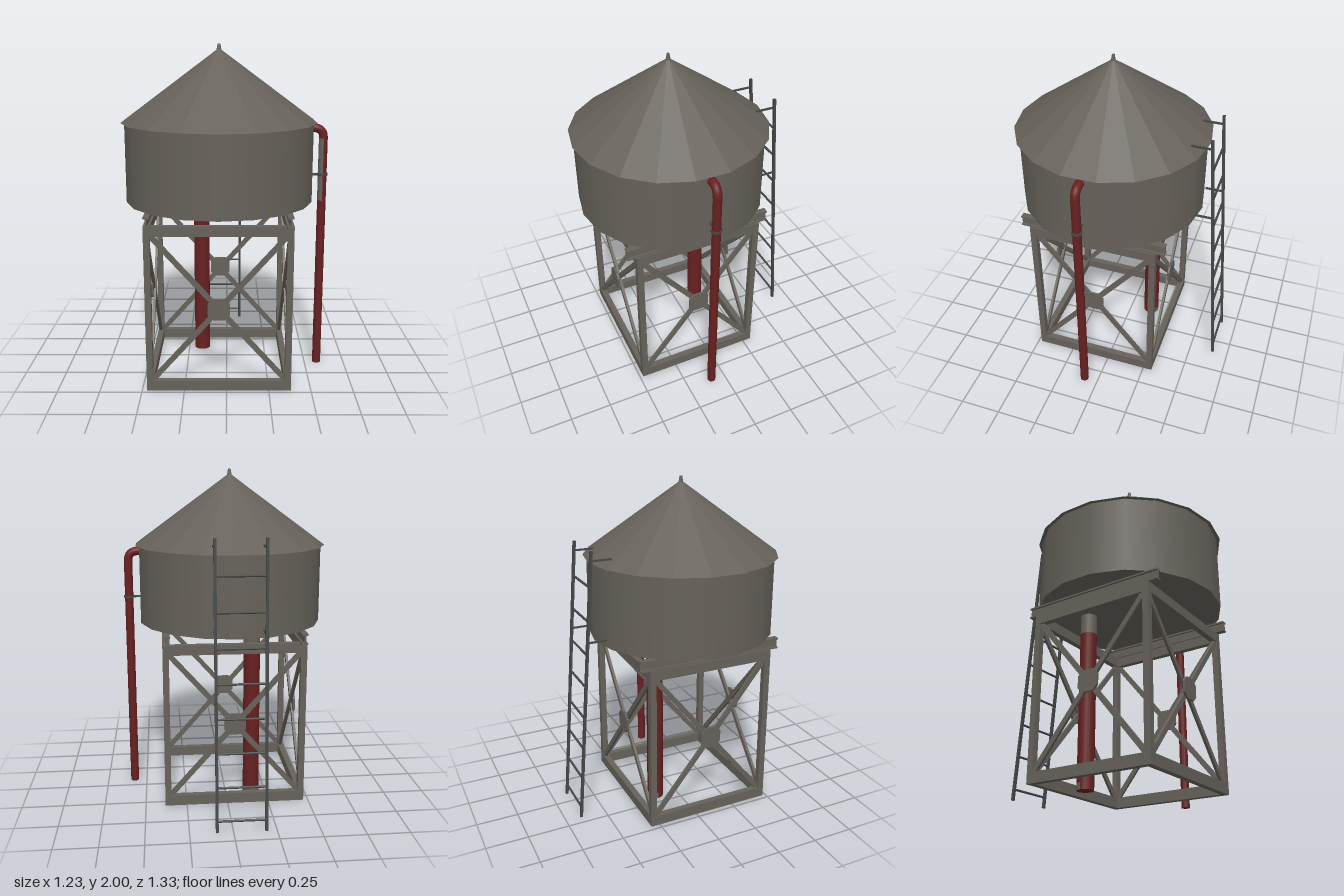
import * as THREE from 'three';

const CX = -0.045, CZ = 0.0875; // axis of tank and tower

export function createModel() {
  const model = new THREE.Group();
  model.name = 'waterTower';
  const mat = (name, color, side = THREE.FrontSide) => {
    const m = new THREE.MeshStandardMaterial({ color, side });
    m.name = name;
    return m;
  };
  const grey = mat('weatheredGrey', 0x66615a);
  const dark = mat('darkIron', 0x454747);
  const red = mat('pipeRed', 0x672020);

  const add = (parent, name, geo, material, x = 0, y = 0, z = 0) => {
    const mesh = new THREE.Mesh(geo, material);
    mesh.name = name;
    mesh.position.set(x, y, z);
    parent.add(mesh);
    return mesh;
  };
  const box = (parent, name, w, h, d, material, x, y, z) =>
    add(parent, name, new THREE.BoxGeometry(w, h, d), material, x, y, z);
  // Straight member between two points; round when no depth is given
  const bar = (parent, name, a, b, w, d, material) => {
    const p = new THREE.Vector3(...a), q = new THREE.Vector3(...b);
    const dir = q.clone().sub(p), len = dir.length();
    const geo = d ? new THREE.BoxGeometry(w, len, d) : new THREE.CylinderGeometry(w, w, len, 8);
    const mesh = add(parent, name, geo, material);
    mesh.position.copy(p).add(q).multiplyScalar(0.5);
    mesh.quaternion.setFromUnitVectors(new THREE.Vector3(0, 1, 0), dir.normalize());
    return mesh;
  };

  // Tank, faceted roof and finial
  const tank = new THREE.Group();
  tank.name = 'tank';
  tank.position.set(CX, 0, CZ);
  model.add(tank);
  add(tank, 'tankBody', new THREE.CylinderGeometry(0.56, 0.56, 0.47, 18), grey, 0, 1.315, 0);
  const roof = new THREE.ConeGeometry(0.582, 0.425, 18).toNonIndexed();
  roof.computeVertexNormals();
  add(tank, 'roof', roof, grey, 0, 1.7625, 0);
  add(tank, 'finial', new THREE.CylinderGeometry(0.008, 0.016, 0.045, 8), grey, 0, 1.9775, 0);

  // Tower: corner legs and four braced sides
  const tower = new THREE.Group();
  tower.name = 'tower';
  tower.position.set(CX, 0, CZ);
  model.add(tower);
  const HX = 0.426, HZ = 0.3925, T = 0.037;
  for (const sx of [-1, 1]) for (const sz of [-1, 1])
    box(tower, 'leg', T, 1.008, T, grey, sx * (HX - T / 2), 0.504, sz * (HZ - T / 2));

  // Octagonal gusset plate
  const R = 0.0635, C = 0.034;
  const gussetShape = new THREE.Shape([
    [R, -C], [R, C], [C, R], [-C, R], [-R, C], [-R, -C], [-C, -R], [C, -R],
  ].map(([x, y]) => new THREE.Vector2(x, y)));

  for (let i = 0; i < 4; i++) {
    const half = i % 2 ? HZ : HX, out = i % 2 ? HX : HZ;
    const side = new THREE.Group();
    side.name = 'towerSide';
    side.rotation.y = i * Math.PI / 2;
    tower.add(side);
    const w = 2 * (half - T);
    box(side, 'bottomBeam', w, 0.063, T, grey, 0, 0.0315, out - T / 2);
    box(side, 'topBeam', w, 0.06, T, grey, 0, 0.978, out - T / 2);
    const bx = half - T + 0.004, bz = out - T / 2;
    for (const s of [-1, 1])
      bar(side, 'brace', [-s * bx, 0.062, bz + s * 0.003], [s * bx, 0.952, bz + s * 0.003], 0.03, 0.016, grey);
    const gusset = new THREE.ExtrudeGeometry(gussetShape, { depth: 0.014, bevelEnabled: false });
    add(side, 'gusset', gusset, grey, 0, 0.513, i === 0 ? out - 0.007 : out - 0.014);
  }

  // Pair of I-beams carrying the tank
  for (const s of [-1, 1]) {
    const beam = new THREE.Group();
    beam.name = 'supportBeam';
    beam.position.set(s * 0.4, 1.008, 0);
    tower.add(beam);
    box(beam, 'lowerFlange', 0.036, 0.01, 0.893, grey, 0, 0.005, 0);
    box(beam, 'web', 0.01, 0.046, 0.893, grey, 0, 0.033, 0);
    box(beam, 'upperFlange', 0.036, 0.01, 0.893, grey, 0, 0.061, 0);
    box(beam, 'shim', 0.02, 0.012, 0.69, grey, 0, 0.07, 0);
  }

  // Main riser under the tank
  const riser = new THREE.Group();
  riser.name = 'riserPipe';
  riser.position.set(-0.162, 0, -0.14);
  model.add(riser);
  add(riser, 'riser', new THREE.CylinderGeometry(0.05, 0.05, 0.955, 18), red, 0, 0.4775, 0);
  add(riser, 'riserCollar', new THREE.CylinderGeometry(0.05, 0.05, 0.13, 18), grey, 0, 1.02, 0);
  add(riser, 'wornFoot', new THREE.CylinderGeometry(0.0508, 0.0508, 0.04, 10, 1, true, Math.PI / 2, Math.PI),
    grey, 0, 0.02, 0);

  // Overflow pipe with elbow into the tank
  const PX = 0.578, PR = 0.026;
  const overflow = new THREE.Group();
  overflow.name = 'overflowPipe';
  overflow.position.z = CZ;
  model.add(overflow);
  add(overflow, 'downpipe', new THREE.CylinderGeometry(PR, PR, 1.45, 14), red, PX, 0.725, 0);
  const v = (x, y) => new THREE.Vector3(x, y, 0);
  const bend = new THREE.CurvePath();
  bend.add(new THREE.QuadraticBezierCurve3(v(PX, 1.45), v(PX, 1.511), v(0.517, 1.511)));
  bend.add(new THREE.LineCurve3(v(0.517, 1.511), v(0.49, 1.511)));
  add(overflow, 'elbow', new THREE.TubeGeometry(bend, 14, PR, 14), red);
  add(overflow, 'wornStrip', new THREE.CylinderGeometry(PR + 0.0008, PR + 0.0008, 0.38, 7, 1, true, -Math.PI / 2, Math.PI / 2),
    grey, PX, 1.26, 0);
  add(overflow, 'pipeClamp', new THREE.CylinderGeometry(0.032, 0.032, 0.014, 14), dark, PX, 1.23, 0);
  box(overflow, 'clampArm', 0.06, 0.012, 0.014, dark, 0.53, 1.23, 0);

  // Leaning ladder with rungs and stand-offs
  const ladder = new THREE.Group();
  ladder.name = 'ladder';
  model.add(ladder);
  const rails = [-0.19, 0.093];
  const ladderZ = (y) => -0.652 + 0.077 * y;
  for (const x of rails) {
    bar(ladder, 'rail', [x, 0, ladderZ(0)], [x, 1.65, ladderZ(1.65)], 0.016, 0.016, dark);
    for (const [y, z] of [[1.595, -0.408], [1.125, -0.455]])
      bar(ladder, 'standoff', [x, y, ladderZ(y)], [x, y, z], 0.01, 0.01, dark);
  }
  for (let k = 0; k < 8; k++) {
    const y = 0.065 + 0.1975 * k;
    bar(ladder, 'rung', [rails[0], y, ladderZ(y)], [rails[1], y, ladderZ(y)], 0.007, 0, dark);
  }
  return model;
}
